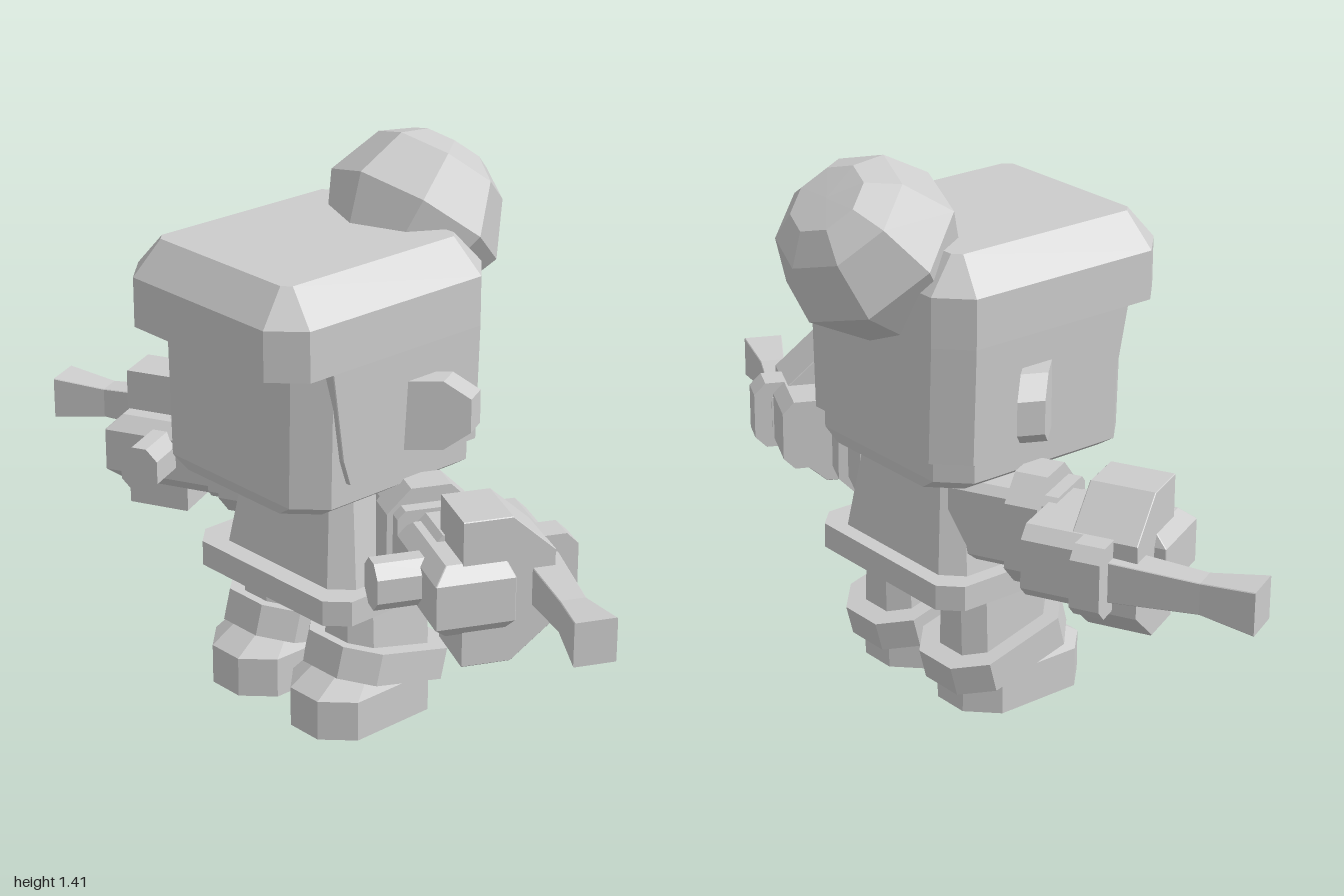
import * as THREE from 'three';

const grey = new THREE.MeshStandardMaterial({ color: 0xcccccc });
grey.name = 'plain grey';

// Rectangle with cut corners, as eight points; the two ends of v may be cut differently
function cutRect([u0, u1, v0, v1], c, e = c) {
  return [[u0 + c, v0], [u1 - c, v0], [u1, v0 + c], [u1, v1 - e],
    [u1 - e, v1], [u0 + e, v1], [u0, v1 - e], [u0, v0 + c]];
}

// Faceted solid through rings of points; faces are turned outwards by signed volume
function loftRings(rings) {
  const tris = [], n = rings[0].length;
  for (let r = 0; r < rings.length - 1; r++) {
    for (let i = 0; i < n; i++) {
      const j = (i + 1) % n, a = rings[r], b = rings[r + 1];
      tris.push([a[i], a[j], b[j]], [a[i], b[j], b[i]]);
    }
  }
  const last = rings[rings.length - 1];
  for (let i = 1; i < n - 1; i++) {
    tris.push([rings[0][0], rings[0][i + 1], rings[0][i]], [last[0], last[i], last[i + 1]]);
  }
  const cross = new THREE.Vector3();
  let volume = 0;
  for (const [a, b, c] of tris) volume += a.dot(cross.crossVectors(b, c));
  const pos = [];
  for (const [a, b, c] of tris) {
    for (const p of volume < 0 ? [a, c, b] : [a, b, c]) pos.push(p.x, p.y, p.z);
  }
  const g = new THREE.BufferGeometry();
  g.setAttribute('position', new THREE.Float32BufferAttribute(pos, 3));
  g.computeVertexNormals();
  return g;
}

// sections: [position along axis, [u0, u1, v0, v1], corner cut, corner cut at v1]
// (u, v) is (x, z) along y, (z, y) along x and (x, y) along z
function block(parent, name, axis, sections, { matrix, side = 1 } = {}) {
  const rings = sections.map(([t, ...rect]) => cutRect(...rect).map(([u, v]) => {
    const p = axis === 'y' ? new THREE.Vector3(u, t, v)
      : axis === 'x' ? new THREE.Vector3(t, v, u) : new THREE.Vector3(u, v, t);
    if (matrix) p.applyMatrix4(matrix);
    p.x *= side;
    return p;
  }));
  const mesh = new THREE.Mesh(loftRings(rings), grey);
  mesh.name = name;
  parent.add(mesh);
}

function addHead(model) {
  const head = new THREE.Group();
  head.name = 'head';
  block(head, 'face', 'y', [
    [0.63, [-0.24, 0.24, -0.21, 0.355], 0.07],
    [0.66, [-0.285, 0.285, -0.215, 0.365], 0.07],
    [1.05, [-0.295, 0.295, -0.215, 0.365], 0.07]]);
  block(head, 'hair', 'y', [
    [0.715, [-0.3, 0.3, -0.235, 0.25], 0.075, 0.002],
    [0.78, [-0.302, 0.302, -0.235, 0.272], 0.075, 0.002],
    [1.01, [-0.31, 0.31, -0.235, 0.31], 0.075, 0.002]]);
  block(head, 'fringe', 'y', [
    [1.01, [-0.31, 0.31, -0.235, 0.455], 0.075],
    [1.135, [-0.31, 0.31, -0.235, 0.455], 0.075],
    [1.22, [-0.235, 0.235, -0.16, 0.385], 0.02]]);

  // Tilted eight-sided bun
  const profile = [[0, -0.3], [0.1, -0.3], [0.23, 0], [0.173, 0.138], [0.1, 0.188], [0, 0.19]]
    .map(([r, y]) => new THREE.Vector2(r, y));
  const bunGeo = new THREE.LatheGeometry(profile, 8).toNonIndexed();
  bunGeo.computeVertexNormals();
  const bun = new THREE.Mesh(bunGeo, grey);
  bun.name = 'hairBun';
  bun.position.set(0, 1.194, -0.234);
  bun.rotation.x = -0.695;
  head.add(bun);

  // Ears lean backwards, with the outer corners cut
  const outline = [[0, 0.755], [0.65, 0.755], [1, 0.8], [1, 0.885], [0.65, 0.93], [0, 0.93]];
  for (const side of [1, -1]) {
    const rings = [0, 1].map((k) => outline.map(([u, y]) =>
      new THREE.Vector3(side * (0.28 + 0.13 * u - 0.03 * k), y, 0.101 - 0.136 * u - 0.06 * k)));
    const ear = new THREE.Mesh(loftRings(rings), grey);
    ear.name = side > 0 ? 'leftEar' : 'rightEar';
    head.add(ear);
  }
  model.add(head);
}

// The arm is laid out straight along x, then turned forwards
function addArm(model, side) {
  const arm = new THREE.Group();
  arm.name = side > 0 ? 'leftArm' : 'rightArm';
  const o = { side, matrix: new THREE.Matrix4().makeRotationY(-0.445) };
  block(arm, 'upperArm', 'x', [
    [0.1, [-0.2, -0.02, 0.425, 0.63], 0.02],
    [0.38, [-0.2, -0.02, 0.425, 0.63], 0.02]], o);
  block(arm, 'cuff', 'x', [
    [0.26, [-0.225, -0.005, 0.38, 0.67], 0.06],
    [0.345, [-0.225, -0.005, 0.38, 0.67], 0.06]], o);
  block(arm, 'wrist', 'x', [
    [0.36, [-0.35, -0.06, 0.435, 0.62], 0.03],
    [0.51, [-0.35, -0.06, 0.435, 0.62], 0.03]], o);
  // Tall hand plate, sloped at its back edge
  block(arm, 'handPlate', 'z', [
    [-0.32, [0.475, 0.64, 0.43, 0.615], 0.002],
    [-0.215, [0.475, 0.64, 0.34, 0.71], 0.002],
    [-0.095, [0.475, 0.64, 0.34, 0.71], 0.002]], o);
  block(arm, 'fist', 'y', [
    [0.425, [0.39, 0.635, -0.2, -0.055], 0.002],
    [0.46, [0.355, 0.67, -0.215, -0.02], 0.002],
    [0.57, [0.355, 0.67, -0.215, -0.02], 0.002],
    [0.605, [0.39, 0.635, -0.2, -0.055], 0.002]], o);
  block(arm, 'thumb', 'z', [
    [-0.08, [0.47, 0.57, 0.465, 0.585], 0.03],
    [0.088, [0.47, 0.57, 0.465, 0.585], 0.03]], o);
  // Handle that narrows and flares again at the tip, with its collar
  block(arm, 'handleCollar', 'x', [
    [0.505, [-0.4, -0.25, 0.44, 0.62], 0.03],
    [0.58, [-0.4, -0.25, 0.44, 0.62], 0.03]], o);
  block(arm, 'handle', 'x', [
    [0.5, [-0.355, -0.26, 0.47, 0.58], 0.002],
    [0.8, [-0.335, -0.27, 0.485, 0.565], 0.002],
    [0.94, [-0.355, -0.252, 0.47, 0.58], 0.002]], o);
  model.add(arm);
}

function addLeg(model, side) {
  const leg = new THREE.Group();
  leg.name = side > 0 ? 'leftLeg' : 'rightLeg';
  block(leg, 'shin', 'y', [
    [0.05, [0.06, 0.245, -0.11, 0.16], 0.045],
    [0.34, [0.07, 0.235, -0.11, 0.16], 0.045]], { side });
  block(leg, 'foot', 'y', [
    [0, [0.03, 0.27, -0.11, 0.265], 0.07],
    [0.105, [0.03, 0.27, -0.11, 0.265], 0.07],
    [0.16, [0.06, 0.24, -0.11, 0.18], 0.05]], { side });
  const matrix = new THREE.Matrix4().makeRotationX(-0.262).setPosition(0.152, 0.149, 0.027);
  block(leg, 'bootCuff', 'y', [
    [-0.041, [-0.132, 0.132, -0.183, 0.183], 0.07],
    [0.041, [-0.132, 0.132, -0.183, 0.183], 0.07]], { side, matrix });
  model.add(leg);
}

export function createModel() {
  const model = new THREE.Group();
  model.name = 'figure';
  addHead(model);
  block(model, 'torso', 'y', [
    [0.38, [-0.235, 0.235, -0.175, 0.22], 0.05],
    [0.64, [-0.19, 0.19, -0.14, 0.18], 0.04]]);
  block(model, 'hem', 'y', [
    [0.325, [-0.275, 0.275, -0.215, 0.27], 0.05],
    [0.39, [-0.275, 0.275, -0.215, 0.27], 0.05]]);
  for (const side of [1, -1]) {
    addArm(model, side);
    addLeg(model, side);
  }
  return model;
}
